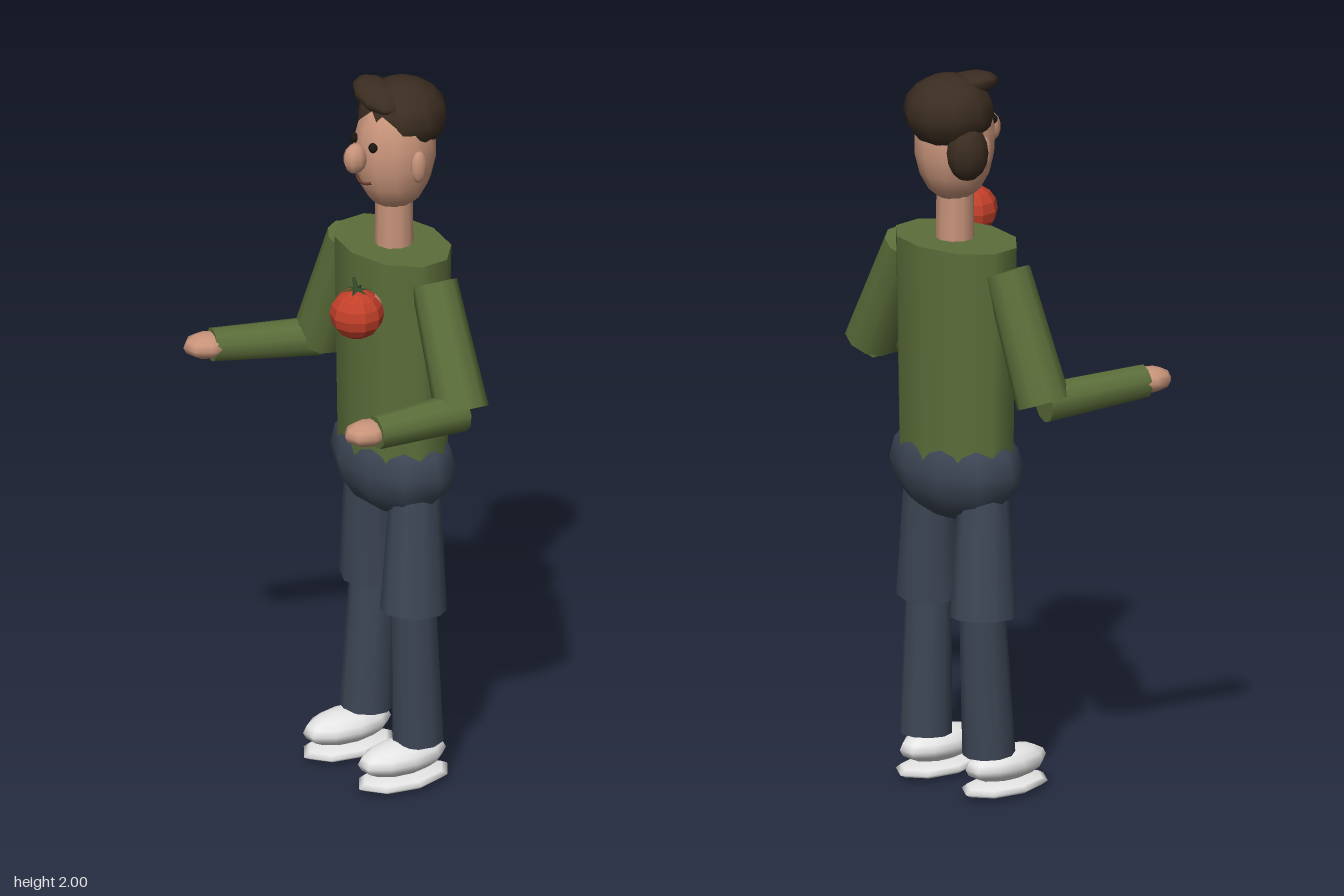
import * as THREE from 'three';

const mat = (name, color, extra = {}) => {
  const m = new THREE.MeshStandardMaterial({ color, ...extra });
  m.name = name;
  return m;
};

export function createModel() {
  const skin = mat('skin', 0xc8947a);
  const sweater = mat('sweater', 0x5c6e3a);
  const denim = mat('denim', 0x3d4655);
  const hair = mat('hair', 0x3a2c20);
  const white = mat('shoeWhite', 0xe6e6e6);
  const red = mat('tomatoRed', 0xc2402a, { flatShading: true });
  const leaf = mat('leafGreen', 0x35522c);
  const shine = mat('tomatoShine', 0xd58a74);
  const dark = mat('eyeDark', 0x1c1613);
  const lip = mat('lip', 0x6b3a2c);

  const YAW = -0.32; // the whole figure is turned a little to its right
  const model = new THREE.Group();
  model.name = 'manWithTomato';

  const add = (parent, name, geo, material, pos = [0, 0, 0], rot = [0, 0, 0]) => {
    const mesh = new THREE.Mesh(geo, material);
    mesh.name = name;
    mesh.position.set(...pos);
    mesh.rotation.set(...rot);
    parent.add(mesh);
    return mesh;
  };
  const ball = (parent, name, material, pos, radii, rot, segs = 12, rings = 9) =>
    add(parent, name, new THREE.SphereGeometry(1, segs, rings).scale(...radii), material, pos, rot);

  // Tapered tube from point a to point b
  const limb = (name, material, a, b, ra, rb, sides = 10) => {
    const from = new THREE.Vector3(...a), to = new THREE.Vector3(...b);
    const dir = to.clone().sub(from);
    const mesh = add(model, name, new THREE.CylinderGeometry(rb, ra, dir.length(), sides), material);
    mesh.position.copy(from).add(to).multiplyScalar(0.5);
    mesh.quaternion.setFromUnitVectors(new THREE.Vector3(0, 1, 0), dir.normalize());
    return mesh;
  };
  const turned = (name, x, y, z) => {
    const g = new THREE.Group();
    g.name = name;
    g.position.set(x, y, z);
    g.rotation.y = YAW;
    model.add(g);
    return g;
  };

  // Trunk
  const trunk = turned('trunk', 0.075, 0, -0.14);
  add(trunk, 'torso', new THREE.CylinderGeometry(1, 0.94, 0.61, 10).scale(0.195, 1, 0.135), sweater, [0, 1.225, 0]);
  ball(trunk, 'hips', denim, [0, 0.9, 0], [0.21, 0.15, 0.14], [0, 0, 0], 10, 8);
  add(trunk, 'neck', new THREE.CylinderGeometry(0.05, 0.052, 0.2, 10), skin, [0.005, 1.6, 0]);

  // Head
  const head = turned('head', 0.08, 1.8, -0.14);
  ball(head, 'skull', skin, [0, 0, 0], [0.107, 0.17, 0.115]);
  ball(head, 'nose', skin, [0, 0.007, 0.13], [0.028, 0.043, 0.035], [0, 0, 0], 8, 7);
  for (const s of [-1, 1]) {
    ball(head, 'ear', skin, [s * 0.11, -0.013, 0], [0.017, 0.046, 0.025], [0, 0, 0], 8, 7);
    ball(head, 'eye', dark, [s * 0.042, 0.045, 0.102], [0.014, 0.014, 0.012], [0, 0, 0], 8, 6);
  }
  const smile = new THREE.QuadraticBezierCurve3(
    new THREE.Vector3(-0.033, -0.062, 0.1),
    new THREE.Vector3(0, -0.077, 0.117),
    new THREE.Vector3(0.033, -0.062, 0.1));
  add(head, 'mouth', new THREE.TubeGeometry(smile, 6, 0.004, 5), lip);

  // Hair: cap, swept quiff and a lock behind one ear
  ball(model, 'hairCap', hair, [0.08, 1.892, -0.176], [0.123, 0.1, 0.123], [0, YAW, 0], 10, 8);
  ball(model, 'quiff', hair, [0.045, 1.957, -0.115], [0.088, 0.033, 0.06], [0, YAW, -0.26], 10, 7);
  ball(model, 'backLock', hair, [0.005, 1.795, -0.215], [0.055, 0.078, 0.06], [0, YAW, 0], 10, 8);

  // Arms: shoulder, elbow, wrist, hand
  const arms = {
    right: [[-0.107, 1.475, -0.2], [-0.232, 1.135, -0.235], [-0.41, 1.153, 0.01], [-0.417, 1.155, 0.022]],
    left: [[0.252, 1.475, -0.08], [0.395, 1.165, -0.005], [0.28, 1.16, 0.23], [0.262, 1.16, 0.245]],
  };
  for (const [side, [shoulder, elbow, wrist, hand]] of Object.entries(arms)) {
    limb(side + 'UpperArm', sweater, shoulder, elbow, 0.062, 0.073);
    limb(side + 'Forearm', sweater, elbow, wrist, 0.054, 0.046);
    const aim = Math.atan2(wrist[0] - elbow[0], wrist[2] - elbow[2]);
    ball(model, side + 'Hand', skin, hand, [0.053, 0.034, 0.066], [0, aim, 0], 8, 6);
  }

  // Legs: hip, knee, ankle, then shoe centre
  const legs = {
    right: [[-0.022, 0.88, -0.17], [-0.04, 0.505, -0.21], [-0.035, 0.52, -0.205], [-0.045, 0.12, -0.187], [-0.065, -0.132]],
    left: [[0.173, 0.88, -0.105], [0.188, 0.505, -0.075], [0.19, 0.52, -0.075], [0.19, 0.12, -0.093], [0.172, -0.05]],
  };
  for (const [side, [hip, knee, shinTop, ankle, shoeAt]] of Object.entries(legs)) {
    limb(side + 'Thigh', denim, hip, knee, 0.066, 0.089);
    limb(side + 'Shin', denim, shinTop, ankle, 0.062, 0.071);
    const shoe = turned(side + 'Shoe', shoeAt[0], 0, shoeAt[1]);
    ball(shoe, 'sole', white, [0, 0.02, 0], [0.084, 0.02, 0.146], [0, 0, 0], 8, 6);
    ball(shoe, 'upper', white, [0, 0.081, 0.004], [0.072, 0.046, 0.136], [0, 0, 0], 10, 8);
  }

  // Tomato in the air
  const tomato = new THREE.Group();
  tomato.name = 'tomato';
  tomato.position.set(0.212, 1.488, 0.221);
  model.add(tomato);
  ball(tomato, 'fruit', red, [0, 0, 0], [0.073, 0.069, 0.073], [0, 0, 0], 10, 8);
  add(tomato, 'highlight',
    new THREE.SphereGeometry(1, 3, 2, Math.PI + 0.45, 0.55, 0.72, 0.36).scale(0.074, 0.07, 0.074), shine);
  for (let i = 0; i < 6; i++) {
    const arm = new THREE.Group();
    arm.name = 'leafArm';
    arm.rotation.y = (i / 6) * Math.PI * 2 + 0.3;
    tomato.add(arm);
    add(arm, 'leaf', new THREE.ConeGeometry(0.01, 0.042, 4).scale(1, 1, 0.4), leaf,
      [0, 0.069, 0.02], [Math.PI / 2 + 0.12, 0, 0]);
  }
  add(tomato, 'stem', new THREE.CylinderGeometry(0.004, 0.007, 0.042, 6), leaf, [-0.005, 0.082, 0], [0, 0, 0.3]);

  return model;
}
